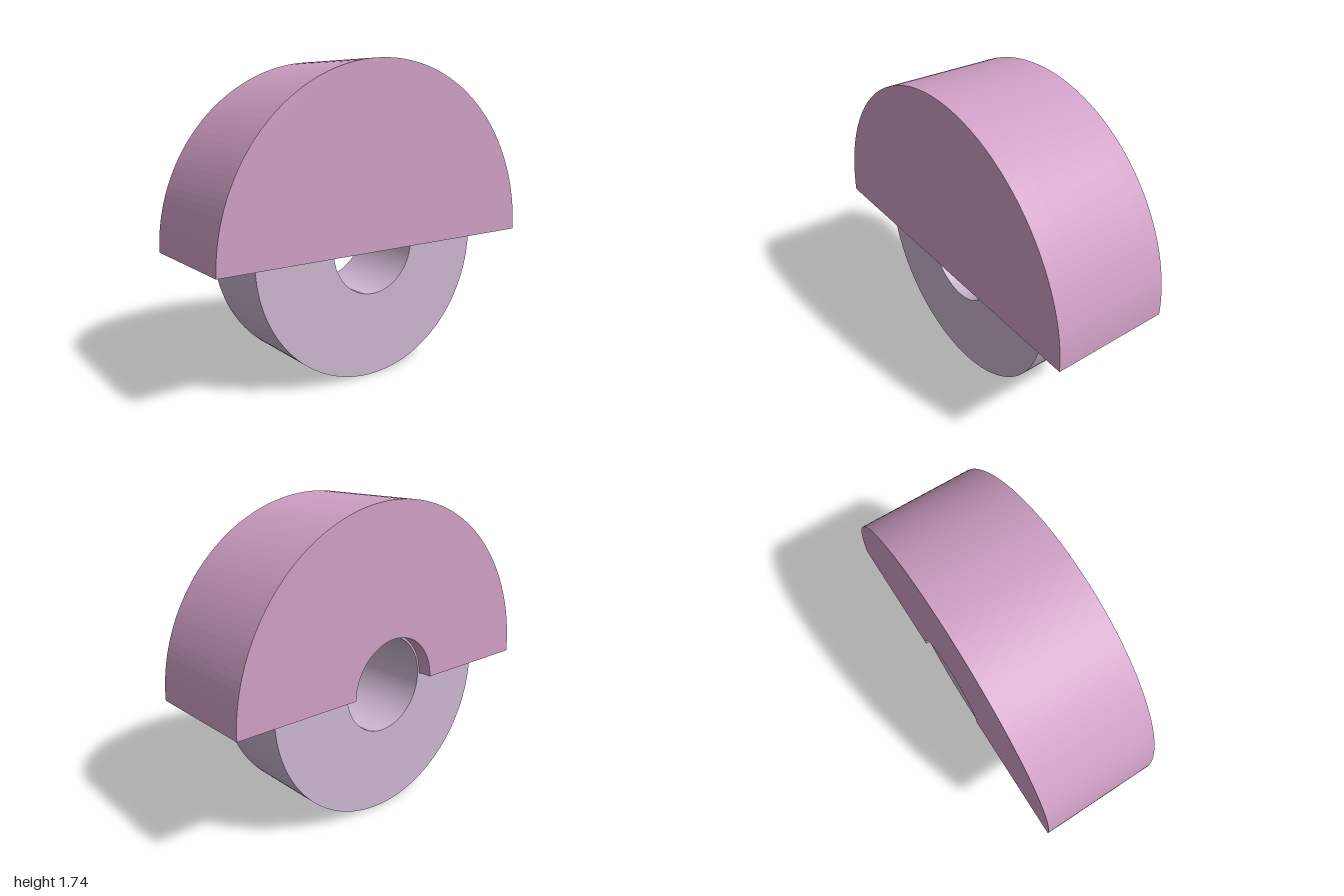
import * as THREE from 'three';

const CENTER_Y = 0.735;
const SEGMENTS = 40;

// Upper half disc, or half ring when an inner radius is given
function halfDisc(outer, inner = 0) {
  const shape = new THREE.Shape();
  shape.absarc(0, 0, outer, 0, Math.PI, false);
  if (inner > 0) shape.absarc(0, 0, inner, Math.PI, 0, true);
  shape.closePath();
  return shape;
}

// Full ring with a round bore
function fullRing(outer, inner) {
  const shape = new THREE.Shape();
  shape.absarc(0, 0, outer, 0, Math.PI * 2, false);
  const bore = new THREE.Path();
  bore.absarc(0, 0, inner, 0, Math.PI * 2, true);
  shape.holes.push(bore);
  return shape;
}

// Extrude a profile between two depths
function slab(name, shape, zBack, zFront, material, curveSegments) {
  const geometry = new THREE.ExtrudeGeometry(shape, {
    depth: zFront - zBack, bevelEnabled: false, curveSegments,
  });
  geometry.translate(0, CENTER_Y, zBack);
  const mesh = new THREE.Mesh(geometry, material);
  mesh.name = name;
  return mesh;
}

export function createModel() {
  const coverMaterial = new THREE.MeshStandardMaterial({ color: 0xd0a0c6 });
  const wheelMaterial = new THREE.MeshStandardMaterial({ color: 0xccb6d0 });

  const model = new THREE.Group();
  model.name = 'coveredWheel';

  // Half-round cover: closed front, rim around the wheel, back wall with axle opening
  const cover = new THREE.Group();
  cover.name = 'cover';
  cover.add(
    slab('coverFront', halfDisc(1), 0.21, 0.333, coverMaterial, SEGMENTS),
    slab('coverRim', halfDisc(1, 0.733), -0.25, 0.21, coverMaterial, SEGMENTS),
    slab('coverBack', halfDisc(1, 0.28), -0.333, -0.25, coverMaterial, SEGMENTS),
  );

  // Wheel seated in the cover, its lower half exposed
  const wheel = slab('wheel', fullRing(0.735, 0.268), -0.25, 0.21, wheelMaterial, SEGMENTS * 2);

  model.add(cover, wheel);
  return model;
}
